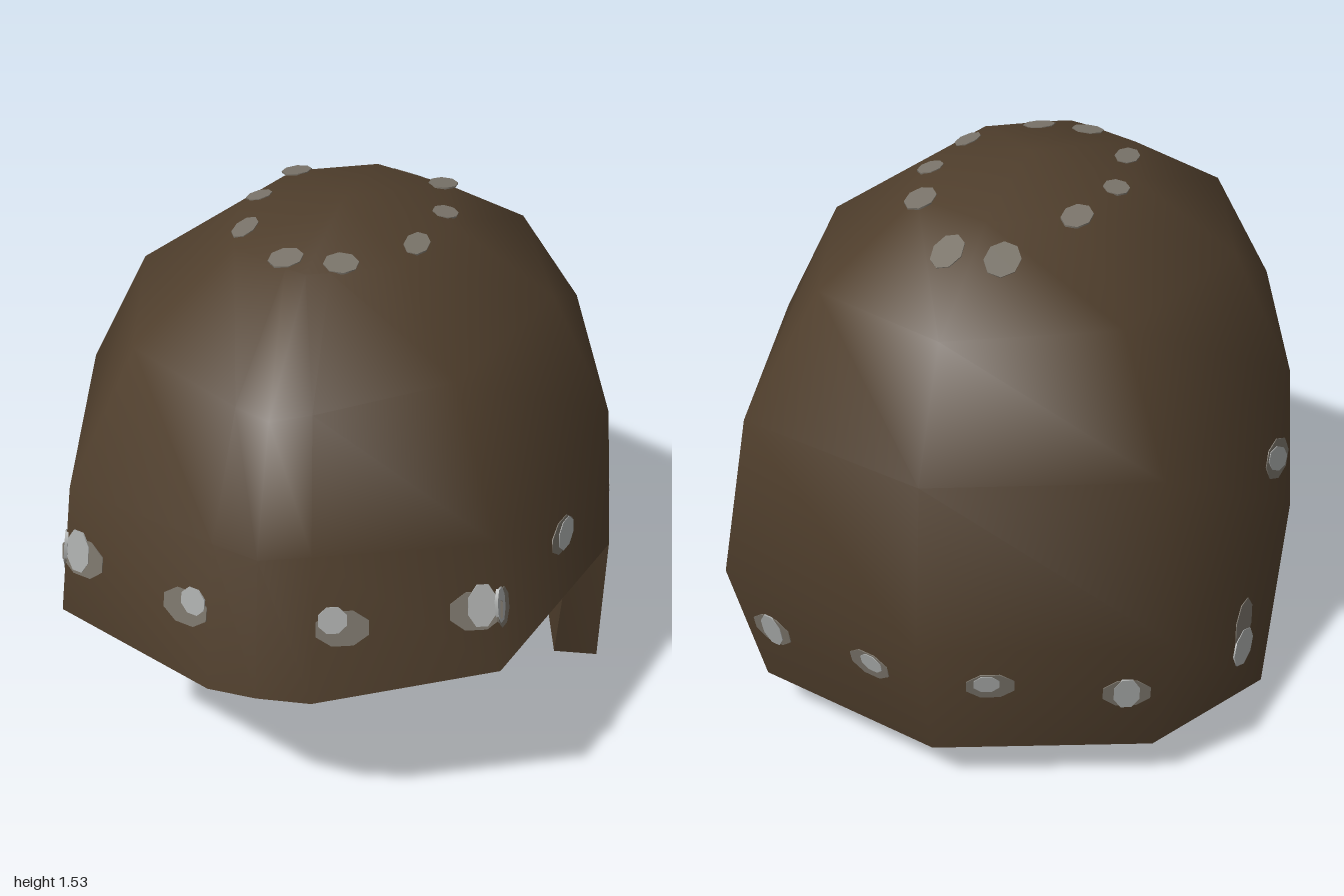
import * as THREE from 'three';

const mat = (name, color, side = THREE.FrontSide) => {
  const m = new THREE.MeshStandardMaterial({ color, side });
  m.name = name;
  return m;
};

export function createModel() {
  const group = new THREE.Group();
  const brown = mat('leather brown', 0x4f3e2c, THREE.DoubleSide);
  const dull = mat('dull metal', 0x7a746a);
  const bright = mat('bright metal', 0xabadac);

  // Half profile columns from back to front; rows run from lower edge up to the crown
  const halfOuter = [
    [[0, 0.14, -0.9], [0, 0.52, -1], [0, 0.985, -0.945], [0, 1.31, -0.77], [0, 1.48, -0.385]],
    [[0.57, 0.14, -0.71], [0.64, 0.52, -0.78], [0.58, 0.97, -0.715], [0.42, 1.295, -0.54], [0.23, 1.48, -0.27]],
    [[0.775, 0, -0.145], [0.8, 0.52, 0.03], [0.77, 0.955, 0.03], [0.595, 1.295, 0.03], [0.305, 1.48, 0.03]],
    [[0.605, 0.57, 0.8], [0.605, 0.57, 0.8], [0.575, 0.93, 0.755], [0.43, 1.29, 0.6], [0.23, 1.48, 0.33]],
    [[0.14, 0.505, 0.97], [0.14, 0.505, 0.97], [0.13, 0.915, 0.91], [0.1, 1.245, 0.775], [0.06, 1.48, 0.43]],
    [[0, 0.52, 1], [0, 0.52, 1], [0, 0.91, 0.95], [0, 1.235, 0.82], [0, 1.48, 0.455]],
  ];
  // Inner edge: lower and brow-level rows
  const halfInner = [
    [[0, 0.195, -0.76], [0, 0.52, -0.85]],
    [[0.5, 0.195, -0.6], [0.55, 0.52, -0.67]],
    [[0.65, 0.05, -0.06], [0.69, 0.515, 0.03]],
    [[0.5, 0.515, 0.6], [0.5, 0.515, 0.6]],
    [[0.05, 0.49, 0.77], [0.05, 0.49, 0.77]],
    [[0, 0.51, 0.8], [0, 0.51, 0.8]],
  ];
  const ring = (h) => [
    ...h,
    ...h.slice(1, 5).reverse().map((col) => col.map(([x, y, z]) => [-x, y, z])),
  ];
  const outer = ring(halfOuter), inner = ring(halfInner);
  const N = outer.length, R = 5;
  const rear = [0, 1, 8, 9]; // panels that reach below the brow line

  function surface(name, points, idx) {
    const g = new THREE.BufferGeometry();
    g.setAttribute('position', new THREE.Float32BufferAttribute(points.flat(), 3));
    g.setIndex(idx);
    g.computeVertexNormals();
    const mesh = new THREE.Mesh(g, brown);
    mesh.name = name;
    group.add(mesh);
    return mesh;
  }

  // Outer shell, smooth, closed at the crown
  const shellIdx = [];
  for (let c = 0; c < N; c++) {
    const d = (c + 1) % N;
    for (let r = rear.includes(c) ? 0 : 1; r < R - 1; r++) {
      const a = c * R + r, b = d * R + r;
      shellIdx.push(a, a + 1, b + 1, a, b + 1, b);
    }
    shellIdx.push(c * R + R - 1, N * R, d * R + R - 1);
  }
  const shell = surface('shell', [...outer.flat(), [0, 1.535, 0.03]], shellIdx);

  // Inner wall of the neck guard and side flaps
  const liningIdx = rear.flatMap((c) => {
    const a = c * 2, b = ((c + 1) % N) * 2;
    return [a, b + 1, a + 1, a, b, b + 1];
  });
  surface('neckLining', inner.flat(), liningIdx);

  // Rim joining the two edges, one separate quad per side
  const path = [[0, 0], [1, 0], [2, 0], [2, 1], [3, 1], [4, 1], [5, 1], [6, 1], [7, 1], [8, 1], [8, 0], [9, 0]];
  const rimPoints = [], rimIdx = [];
  path.forEach(([c, r], i) => {
    const [d, s] = path[(i + 1) % path.length];
    const k = rimPoints.length;
    rimPoints.push(outer[c][r], outer[d][s], inner[d][s], inner[c][r]);
    rimIdx.push(k, k + 1, k + 2, k, k + 2, k + 3);
  });
  surface('rim', rimPoints, rimIdx);

  // Studs: thin faceted plates set through the shell where a ray meets it
  const plate = new THREE.CylinderGeometry(0.53, 0.53, 1, 8).rotateX(Math.PI / 2).rotateZ(Math.PI / 8);
  const V = (a) => new THREE.Vector3(...a);
  function stud(name, from, dir, base, core) {
    for (const s of [1, -1]) {
      const ray = new THREE.Raycaster(V([from[0] * s, from[1], from[2]]), V([dir[0] * s, dir[1], dir[2]]));
      const hit = ray.intersectObject(shell)[0];
      const n = hit.face.normal.clone();
      const x = (dir[1] ? V([0, 0, -1]) : V([0, 1, 0])).cross(n).normalize();
      const y = n.clone().cross(x);
      const holder = new THREE.Group();
      holder.name = name;
      holder.quaternion.setFromRotationMatrix(new THREE.Matrix4().makeBasis(x, y, n));
      holder.position.copy(hit.point);
      const add = (label, material, thick, [w, h, ox = 0, oy = 0, rot = 0]) => {
        const m = new THREE.Mesh(plate, material);
        m.name = label;
        m.scale.set(w, h, thick);
        m.position.set(ox * s, oy, 0);
        m.rotation.z = rot * s;
        holder.add(m);
      };
      add('studBase', dull, 0.005, base);
      if (core) add('studCore', bright, 0.009, core);
      group.add(holder);
    }
  }

  const back = [0, 0, -1], forward = [0, 0, 1], inward = [-1, 0, 0], down = [0, -1, 0];

  // Brow and side studs; the temple stud wraps round the corner
  stud('browStud', [0.21, 0.715, 5], back, [0.14, 0.1], [0.075, 0.075, -0.025, 0.025]);
  stud('templeStud', [0.535, 0.745, 5], back, [0.14, 0.11], [0.075, 0.12, 0.015, 0.015]);
  stud('templeStudSide', [5, 0.74, 0.755], inward, [0.07, 0.11], [0.045, 0.1, -0.015, 0.015]);
  stud('sideStud', [5, 0.735, 0.36], inward, [0.14, 0.1], [0.1, 0.09, 0.02, -0.005]);
  stud('earStud', [5, 0.715, -0.06], inward, [0.15, 0.12, 0, 0, 0.4], [0.13, 0.07, 0, 0, 0.5]);
  stud('flapStud', [5, 0.265, -0.31], inward, [0.12, 0.15, 0, 0.04], [0.14, 0.11, 0, -0.04, 0.4]);

  // Rear studs
  stud('rearStud', [0.51, 0.35, -5], forward, [0.13, 0.1], [0.07, 0.11]);
  stud('rearStud', [0.17, 0.39, -5], forward, [0.13, 0.09], [0.07, 0.06, 0.01, 0.01]);

  // Oval of crown studs
  [
    [0.075, -0.475, 0.09, 0.12], [0.22, -0.275, 0.08, 0.12], [0.27, -0.05, 0.07, 0.09],
    [0.24, 0.195, 0.065, 0.13], [0.075, 0.375, 0.09, 0.1],
  ].forEach(([x, z, w, h]) => stud('crownStud', [x, 5, z], down, [w, h]));

  return group;
}
